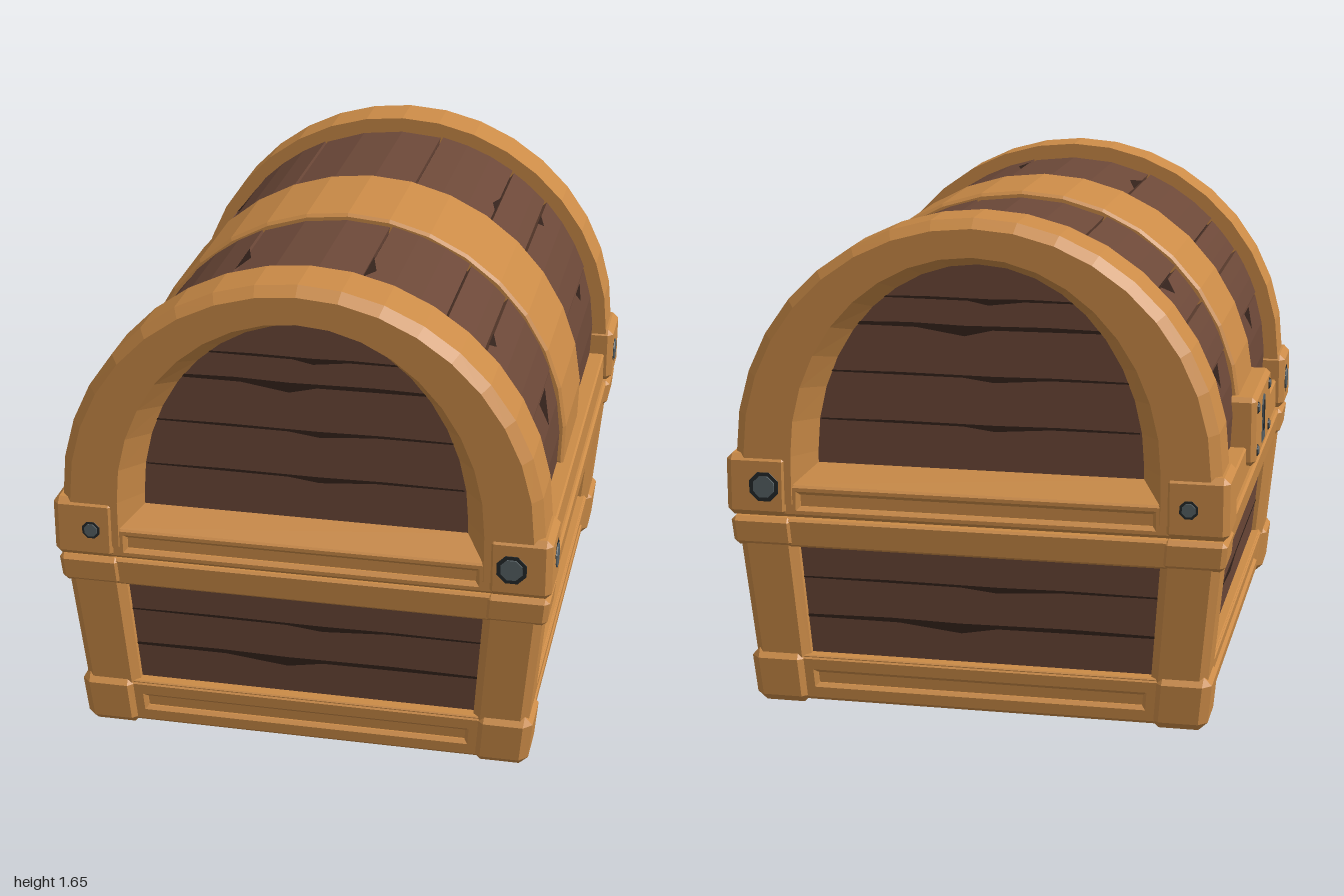
import * as THREE from 'three';
import { ConvexGeometry } from 'three/addons/geometries/ConvexGeometry.js';

const mat = (color, side = THREE.FrontSide) => new THREE.MeshStandardMaterial({ color, side, flatShading: true });
const trim = mat(0xcb8b47), wood = mat(0x6c4838), dark = mat(0x33221b, THREE.DoubleSide);
const metal = mat(0x566064), black = mat(0x24282a);
const SIGNS = [1, -1];
const V = (x, y, z) => new THREE.Vector3(x, y, z);

// Box between two corners with every edge cut by c
function chamferBox(x0, x1, y0, y1, z0, z1, c) {
  const h = [(x1 - x0) / 2, (y1 - y0) / 2, (z1 - z0) / 2], pts = [];
  for (const i of SIGNS) for (const j of SIGNS) for (const k of SIGNS)
    for (let full = 0; full < 3; full++)
      pts.push(V(...[i, j, k].map((s, a) => s * (h[a] - (a === full ? 0 : c)))));
  return new ConvexGeometry(pts).translate((x0 + x1) / 2, (y0 + y1) / 2, (z0 + z1) / 2);
}

// The same box pushed into the corner given by the signs sx, sz
function cornerBox(sx, sz, x0, x1, y0, y1, z0, z1, c) {
  return chamferBox(sx > 0 ? x0 : -x1, sx > 0 ? x1 : -x0, y0, y1, sz > 0 ? z0 : -z1, sz > 0 ? z1 : -z0, c);
}

function polygon(points) {
  return new THREE.Shape(points.map(([x, y]) => new THREE.Vector2(x, y)));
}

// Rail face, facing +z, with a long sunk groove
function groovedFace(halfW, y0, y1, margin, z) {
  const rect = (w, a, b) => [[-w, a], [w, a], [w, b], [-w, b]];
  const s = polygon(rect(halfW, y0, y1));
  s.holes.push(polygon(rect(halfW - 0.085, y0 + margin, y1 - margin).reverse()));
  return new THREE.ExtrudeGeometry(s, {
    depth: 0.006, bevelEnabled: true, bevelSegments: 1, bevelThickness: 0.012, bevelSize: 0.012, bevelOffset: -0.012,
  }).translate(0, 0, z - 0.018);
}

// Long ragged split, facing +z
function split(halfW, y, z, flip) {
  const f = flip ? -1 : 1;
  const pts = [[-1, 0.004], [-0.5, 0.009], [-0.1, 0.004], [0.5, 0.008], [1, 0.003], [1, -0.005], [0.1, -0.008], [-0.1, -0.03], [-0.45, -0.006], [-1, -0.005]];
  return new THREE.ShapeGeometry(polygon(pts.map(([a, b]) => [a * halfW * f, y + b * (flip ? 0.6 : 1)]))).translate(0, 0, z);
}

// Slice of a ring between two angles, running along z
function ringSlice(r0, r1, t0, t1, halfD, segs, bevel = 0) {
  const pts = [];
  for (let i = 0; i <= segs; i++) { const t = t0 + (t1 - t0) * i / segs; pts.push([r1 * Math.cos(t), r1 * Math.sin(t)]); }
  for (let i = segs; i >= 0; i--) { const t = t0 + (t1 - t0) * i / segs; pts.push([r0 * Math.cos(t), r0 * Math.sin(t)]); }
  return new THREE.ExtrudeGeometry(polygon(pts), {
    depth: 2 * (halfD - bevel), bevelEnabled: bevel > 0, bevelSegments: 1, bevelThickness: bevel, bevelSize: bevel, bevelOffset: -bevel,
  }).translate(0, 0.86, bevel - halfD);
}

// End arch: a moulded section [a, b, z] swept over half an ellipse with straight feet
function archGeometry() {
  const profile = [[0.79, 0.79, 0.785], [0.79, 0.79, 0.955], [0.757, 0.76, 0.99], [0.6, 0.67, 0.99], [0.53, 0.63, 0.89], [0.53, 0.63, 0.785]];
  const n = 18, m = profile.length, pos = [], idx = [];
  for (let i = -1; i <= n + 1; i++) {
    const t = Math.PI * Math.min(Math.max(i, 0), n) / n, foot = i < 0 || i > n;
    for (const [a, b, z] of profile) pos.push(a * Math.cos(t), foot ? 0.7 : 0.86 + b * Math.sin(t), z);
  }
  for (let i = 0; i < n + 2; i++) for (let j = 0; j < m; j++) {
    const a = i * m + j, b = i * m + (j + 1) % m;
    idx.push(a, a + m, b, b, a + m, b + m);
  }
  const g = new THREE.BufferGeometry();
  g.setAttribute('position', new THREE.Float32BufferAttribute(pos, 3));
  g.setIndex(idx);
  g.computeVertexNormals();
  return g;
}

// Eight-sided bolt facing +z
function bolt(r) {
  const g = new THREE.Group();
  g.name = 'bolt';
  [[1, 0.006, black], [0.72, 0.014, metal]].forEach(([k, h, m]) => {
    const c = new THREE.CylinderGeometry(r * k * 0.92, r * k, h, 8).rotateY(Math.PI / 8).rotateX(Math.PI / 2);
    g.add(new THREE.Mesh(c, m));
  });
  return g;
}

function createBase() {
  const base = new THREE.Group();
  base.name = 'base';
  // Everything in the base widens toward the top
  const add = (name, geo, m) => {
    const p = geo.attributes.position;
    for (let i = 0; i < p.count; i++) {
      const y = p.getY(i);
      p.setX(i, p.getX(i) * (1 + 0.13 * y));
      p.setZ(i, p.getZ(i) * (1 + 0.07 * y));
    }
    geo.computeVertexNormals();
    const mesh = new THREE.Mesh(geo, m);
    mesh.name = name;
    base.add(mesh);
  };
  add('basePanels', chamferBox(-0.695, 0.695, 0.02, 0.64, -0.885, 0.885, 0.002), wood);
  add('bottomBoard', chamferBox(-0.715, 0.715, 0.008, 0.14, -0.905, 0.905, 0.004), trim);
  for (const s of SIGNS) {
    const turn = s > 0 ? 0 : Math.PI;
    add('endBottomRail', groovedFace(0.62, 0.012, 0.17, 0.06, 0.93).rotateY(turn), trim);
    add('sideBottomRail', groovedFace(0.79, 0.012, 0.175, 0.062, 0.73).rotateY(turn + Math.PI / 2), trim);
    add('endBottomLedge', cornerBox(1, s, -0.6, 0.6, 0.135, 0.17, 0.87, 0.925, 0.004), trim);
    add('sideBottomLedge', cornerBox(s, 1, 0.68, 0.725, 0.135, 0.175, -0.78, 0.78, 0.004), trim);
    add('endTopRail', cornerBox(1, s, -0.6, 0.6, 0.55, 0.645, 0.8, 0.932, 0.008), trim);
    add('sideTopRail', cornerBox(s, 1, 0.6, 0.737, 0.55, 0.645, -0.8, 0.8, 0.008), trim);
    for (const [i, y] of [0.3, 0.435].entries()) {
      add('endSplit', split(0.575, y, 0.888, i).rotateY(turn), dark);
      add('sideSplit', split(0.74, y, 0.698, i).rotateY(turn + Math.PI / 2), dark);
    }
    for (const z of SIGNS) {
      add('cornerPost', cornerBox(s, z, 0.555, 0.735, 0.1, 0.6, 0.735, 0.93, 0.025), trim);
      add('cornerFoot', cornerBox(s, z, 0.565, 0.75, 0, 0.185, 0.745, 0.947, 0.028), trim);
      add('topCornerCap', cornerBox(s, z, 0.56, 0.75, 0.55, 0.648, 0.755, 0.94, 0.015), trim);
    }
  }
  return base;
}

function createLid() {
  const lid = new THREE.Group();
  lid.name = 'lid';
  const add = (name, geo, m, turn = 0) => {
    const mesh = new THREE.Mesh(geo, m);
    mesh.name = name;
    mesh.rotation.y = turn;
    lid.add(mesh);
    return mesh;
  };
  add('lidFloor', chamferBox(-0.71, 0.71, 0.66, 0.85, -0.885, 0.885, 0.004), wood);
  add('barrelCore', ringSlice(0.5, 0.715, -0.13, Math.PI + 0.13, 0.8, 24), dark);
  // Barrel planks of uneven width
  const seams = [-0.13, 0.345, 0.743, 0.967, 1.367, 1.973, 2.369, 2.564, 2.812, Math.PI + 0.13];
  for (let i = 0; i < seams.length - 1; i++)
    add('barrelPlank', ringSlice(0.69, i % 2 ? 0.742 : 0.738, seams[i] + 0.006, seams[i + 1] - 0.006, 0.8, 3), wood);
  // Chips on the plank edges: seam angle, z, width, depth
  const chips = [[0.345, 0.43, 0.14, -0.14], [0.345, -0.56, 0.12, -0.06], [0.743, 0.58, 0.1, -0.04], [0.743, -0.58, 0.09, -0.04],
    [0.967, -0.4, 0.16, 0.03], [1.367, 0.6, 0.18, -0.04], [1.973, 0.5, 0.2, -0.05], [2.369, -0.5, 0.16, 0.07], [2.812, 0.45, 0.14, 0.1], [2.812, -0.5, 0.14, 0.1]];
  for (const [t, z, w, d] of chips) {
    const pts = [[t, z - w / 2], [t, z + w / 2], [t + d, z + w * 0.1]].map(([a, b]) => V(0.744 * Math.cos(a), 0.86 + 0.744 * Math.sin(a), b));
    add('plankChip', new THREE.BufferGeometry().setFromPoints(pts), dark).geometry.computeVertexNormals();
  }
  add('centreStrap', ringSlice(0.7, 0.76, -0.13, Math.PI + 0.13, 0.21, 18, 0.01), trim);

  // End panels
  const panel = [[-0.55, 0.7], [0.55, 0.7]];
  for (let i = 0; i <= 18; i++) { const t = Math.PI * i / 18; panel.push([0.55 * Math.cos(t), 0.86 + 0.65 * Math.sin(t)]); }
  add('endPanels', new THREE.ExtrudeGeometry(polygon(panel), { depth: 1.79, bevelEnabled: false }).translate(0, 0, -0.895), wood);
  const sill = polygon([[0.78, 0.656], [0.968, 0.656], [0.968, 0.765], [0.985, 0.765], [0.89, 0.825], [0.78, 0.825]]);
  for (const s of SIGNS) {
    const turn = s > 0 ? 0 : Math.PI;
    add('endArch', archGeometry(), trim, turn);
    add('endSill', new THREE.ExtrudeGeometry(sill, { depth: 1.26, bevelEnabled: false }).rotateY(-Math.PI / 2).translate(0.63, 0, 0), trim, turn);
    add('endRail', groovedFace(0.66, 0.656, 0.768, 0.036, 0.987), trim, turn);
    add('sideRail', cornerBox(s, 1, 0.68, 0.787, 0.656, 0.767, -0.8, 0.8, 0.006), trim);
    [[0.52, 0.97], [0.51, 1.13], [0.45, 1.29], [0.33, 1.38]].forEach(([w, y], i) =>
      add('panelSplit', split(w, y, 0.898, i !== 2), dark, turn));
    // Corner blocks and bolts
    for (const x of SIGNS) {
      add('cornerBlock', cornerBox(x, s, 0.61, 0.818, 0.656, 0.862, 0.78, 0.997, 0.02), trim);
      const endBolt = bolt(x > 0 ? 0.056 : 0.034);
      endBolt.position.set(x * 0.69, 0.757, s * 0.995);
      endBolt.rotation.y = turn;
      lid.add(endBolt);
      if (x < 0 && s < 0) continue;
      const sideBolt = bolt(0.06);
      sideBolt.position.set(x * 0.815, 0.757, s * 0.865);
      sideBolt.rotation.y = x * Math.PI / 2;
      lid.add(sideBolt);
    }
  }

  // Lock plate with keyhole on the right side
  const lock = new THREE.Group();
  lock.name = 'lockPlate';
  lock.add(new THREE.Mesh(chamferBox(-0.245, 0.245, -0.12, 0.12, -0.09, 0.016, 0.016), trim));
  for (const x of SIGNS) for (const y of SIGNS) {
    const b = bolt(0.022);
    b.position.set(x * 0.185, y * 0.075, 0.016);
    lock.add(b);
  }
  const keyhole = (k, depth, m) => {
    const outline = [];
    for (let i = 0; i <= 8; i++) { const t = -0.9 + (Math.PI + 1.8) * i / 8; outline.push([0.046 * k * Math.cos(t), 0.035 + 0.046 * k * Math.sin(t)]); }
    outline.push([-0.045 * k, -0.085 * k], [0.045 * k, -0.085 * k]);
    const mesh = new THREE.Mesh(new THREE.ExtrudeGeometry(polygon(outline), { depth, bevelEnabled: false }).translate(0, 0, 0.013), m);
    mesh.name = 'keyhole';
    lock.add(mesh);
  };
  keyhole(1, 0.006, metal);
  keyhole(0.55, 0.008, black);
  lock.position.set(-0.802, 0.82, 0);
  lock.rotation.y = -Math.PI / 2;
  lid.add(lock);
  return lid;
}

export function createModel() {
  const chest = new THREE.Group();
  chest.name = 'chest';
  chest.add(createBase(), createLid());
  return chest;
}
